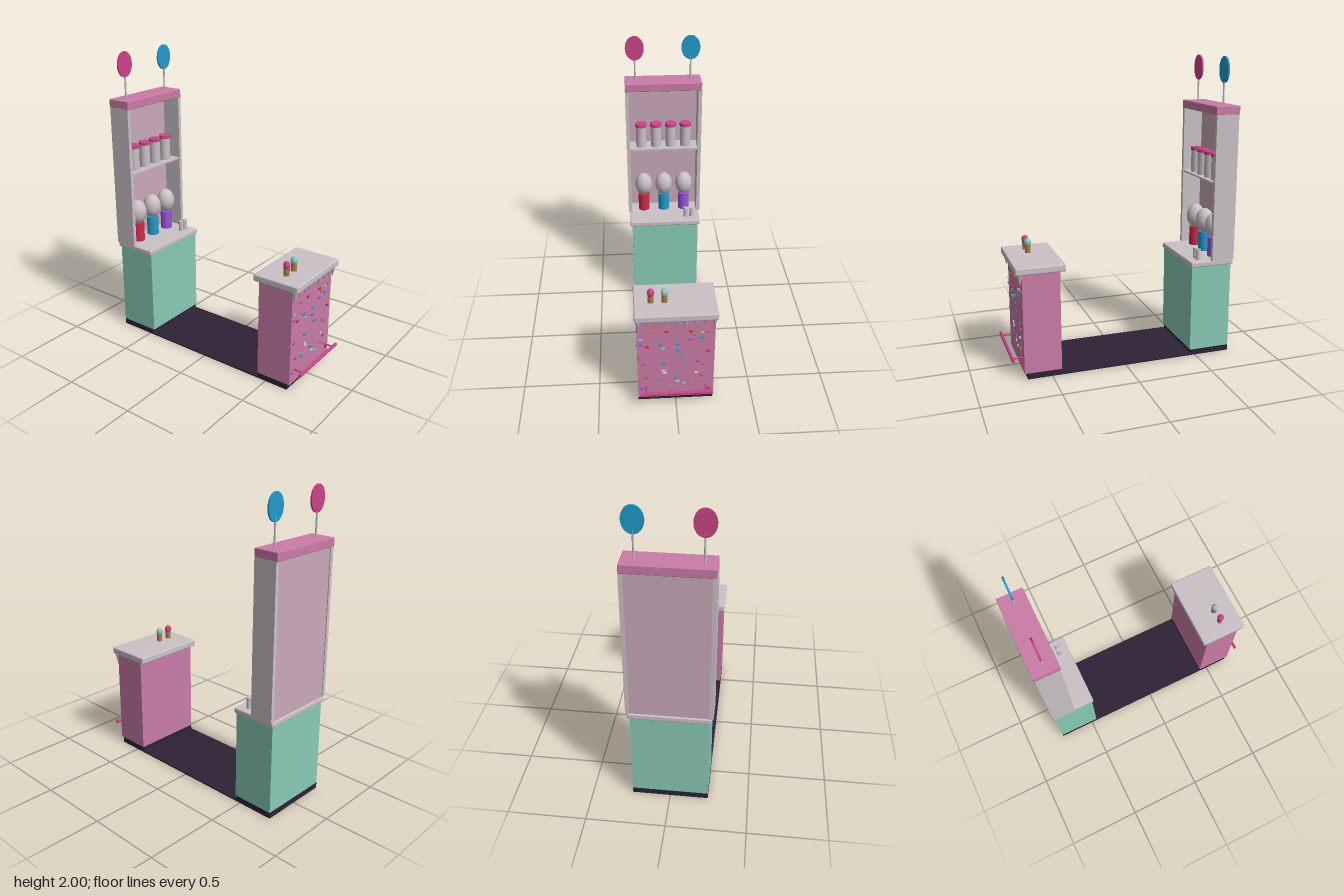
import * as THREE from 'three';
import { RoundedBoxGeometry } from 'three/addons/geometries/RoundedBoxGeometry.js';

const mat = (name, color) => new THREE.MeshStandardMaterial({ name, color });

export function createModel() {
  const M = {
    pink: mat('candyPink', 0xca7ca7), mint: mat('mint', 0x89cbb7), cream: mat('cream', 0xcbc2c8),
    blush: mat('blush', 0xcaa9b9), dark: mat('darkPlum', 0x2d2235), hot: mat('hotPink', 0xcc4488),
    blue: mat('blue', 0x229bcc), red: mat('red', 0xd02c4a), purple: mat('purple', 0x9a55d8),
    cone: mat('waffle', 0xb07a48),
  };
  const root = new THREE.Group();
  root.name = 'candyStand';

  const add = (name, geo, material, x, y, z, parent = root) => {
    const m = new THREE.Mesh(geo, material);
    m.name = name;
    m.position.set(x, y, z);
    parent.add(m);
    return m;
  };
  // Boxes given by their extents; r > 0 rounds the edges
  const box = (name, material, [x0, x1], [y0, y1], [z0, z1], r = 0) => {
    const s = [x1 - x0, y1 - y0, z1 - z0];
    const geo = r ? new RoundedBoxGeometry(...s, 2, r) : new THREE.BoxGeometry(...s);
    return add(name, geo, material, (x0 + x1) / 2, (y0 + y1) / 2, (z0 + z1) / 2);
  };
  // Upright cylinder standing on y0
  const post = (name, material, r, x, y0, y1, z, sides = 16) =>
    add(name, new THREE.CylinderGeometry(r, r, y1 - y0, sides), material, x, (y0 + y1) / 2, z);

  // Floor and plinths
  const W = [-0.243, 0.243];
  box('floor', M.dark, W, [0, 0.01], [-0.745, 0.66]);
  box('frontPlinth', M.dark, W, [0.01, 0.04], [0.437, 0.66]);
  box('backPlinth', M.dark, W, [0.01, 0.04], [-0.745, -0.472]);

  // Front counter
  box('frontCounter', M.pink, W, [0.04, 0.7], [0.437, 0.68]);
  box('frontCounterTop', M.cream, [-0.257, 0.257], [0.7, 0.747], [0.4, 0.722], 0.009);

  // Icing drips under the front edge
  [0.08, 0.055, 0.05, 0.06, 0.05, 0.08, 0.05, 0.055, 0.08].forEach((len, i) => {
    const geo = new THREE.ConeGeometry(0.019, len, 8).rotateX(Math.PI);
    add('icingDrip', geo, M.cream, -0.236 + i * 0.059, 0.701 - len / 2, 0.692);
  });

  // Sprinkles on the counter front, grouped by colour as x, y pairs
  const sprinkles = {
    cone: [-0.14, 0.59, 0.11, 0.565, 0.2, 0.58, 0.17, 0.315, 0.14, 0.17],
    red: [-0.06, 0.595, 0.09, 0.59, -0.18, 0.475, 0.2, 0.425, 0.21, 0.1],
    mint: [-0.22, 0.535, -0.08, 0.455, 0.16, 0.58, 0.05, 0.155],
    blue: [0.16, 0.535, -0.1, 0.49, 0.01, 0.49, 0.01, 0.44, 0.03, 0.385, -0.08, 0.335, -0.11, 0.19, 0, 0.205],
    purple: [0.09, 0.525, -0.22, 0.495, -0.21, 0.33, 0.14, 0.34, -0.22, 0.12],
    cream: [-0.08, 0.27, -0.07, 0.25, 0.13, 0.245, 0.01, 0.175],
    hot: [-0.19, 0.21, 0.16, 0.215],
  };
  for (const [key, p] of Object.entries(sprinkles))
    for (let i = 0; i < p.length; i += 2)
      add('sprinkle', new THREE.BoxGeometry(0.024, 0.011, 0.009), M[key], p[i], p[i + 1], 0.684);

  // Foot rail on two brackets
  const rail = add('footRail', new THREE.CylinderGeometry(0.01, 0.01, 0.466, 12).rotateZ(Math.PI / 2), M.hot, 0, 0.132, 0.748);
  rail.scale.y = 1.25;
  for (const x of [-0.19, 0.19])
    add('railBracket', new THREE.CylinderGeometry(0.006, 0.006, 0.07, 8).rotateX(Math.PI / 2), M.hot, x, 0.132, 0.712);

  // Ice cream cups on the counter
  [[-0.15, M.hot], [-0.065, M.mint]].forEach(([x, m]) => {
    post('cup', M.cone, 0.019, x, 0.746, 0.802, 0.577, 10);
    add('scoop', new THREE.SphereGeometry(0.023, 10, 8), m, x, 0.815, 0.577).scale.y = 1.25;
  });

  // Back counter
  box('backCounter', M.mint, W, [0.04, 0.63], [-0.745, -0.462]);
  box('backCounterTop', M.cream, [-0.257, 0.257], [0.63, 0.667], [-0.757, -0.453], 0.008);
  for (const x of [0.157, 0.2]) post('shaker', M.cream, 0.016, x, 0.666, 0.74, -0.524);

  // Display cabinet
  for (const s of [-1, 1]) {
    const xs = [s * 0.242, s * 0.267].sort((a, b) => a - b);
    box('cabinetSide', M.cream, xs, [0.667, 1.637], [-0.753, -0.597]);
  }
  box('cabinetBack', M.blush, [-0.243, 0.243], [0.667, 1.637], [-0.747, -0.732]);
  box('shelf', M.cream, [-0.243, 0.243], [1.183, 1.195], [-0.735, -0.6]);
  box('cabinetRoof', M.pink, [-0.265, 0.265], [1.635, 1.69], [-0.76, -0.593], 0.004);

  // Candy jars with lids
  for (let i = 0; i < 4; i++) {
    const x = -0.16 + i * 0.106;
    post('jar', M.cream, 0.037, x, 1.195, 1.35, -0.66);
    post('jarLid', M.hot, 0.041, x, 1.35, 1.371, -0.66);
  }

  // Globe dispensers
  [M.red, M.blue, M.purple].forEach((m, i) => {
    const x = (i - 1) * 0.149;
    post('dispenserBase', m, 0.041, x, 0.666, 0.8, -0.66);
    add('dispenserGlobe', new THREE.SphereGeometry(0.063, 14, 10), M.cream, x, 0.88, -0.66).scale.y = 1.36;
  });

  // Lollipops on the roof
  [[-0.193, M.hot], [0.19, M.blue]].forEach(([x, m]) => {
    post('lollipopStick', M.cream, 0.006, x, 1.688, 1.86, -0.675, 8);
    const disc = new THREE.CylinderGeometry(0.064, 0.064, 0.011, 24).rotateX(Math.PI / 2);
    add('lollipop', disc, m, x, 1.916, -0.675).scale.y = 1.31;
  });

  return root;
}
